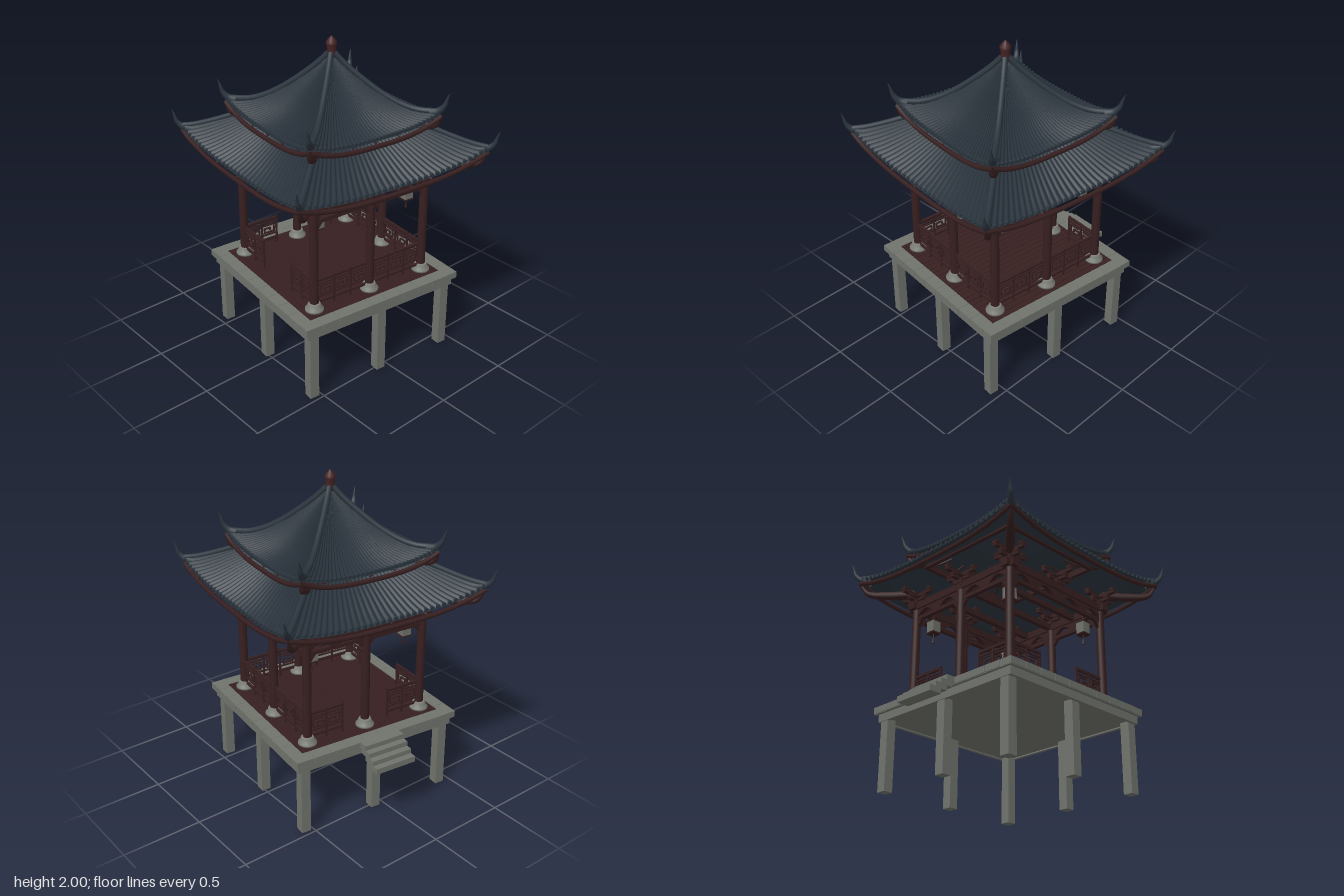
import * as THREE from 'three';

const mat = (name, color, side = THREE.FrontSide) => {
  const m = new THREE.MeshStandardMaterial({ color, side });
  m.name = name;
  return m;
};

export function createModel() {
  const stone = mat('grey stone', 0x70736c);
  const paleStone = mat('pale stone', 0x7a7d75);
  const wood = mat('dark red wood', 0x371f20);
  const slate = mat('slate tile', 0x2a343d, THREE.DoubleSide);
  const finialRed = mat('finial red', 0x462324);
  const paper = mat('lantern paper', 0x70716a);

  const model = new THREE.Group();
  model.name = 'pavilion';
  const body = new THREE.Group();
  body.name = 'turnedPavilion';
  body.rotation.y = -0.118;
  model.add(body);

  const add = (parent, name, geo, material, x = 0, y = 0, z = 0) => {
    const m = new THREE.Mesh(geo, material);
    m.name = name;
    m.position.set(x, y, z);
    parent.add(m);
    return m;
  };
  const box = (p, name, material, w, h, d, x, y, z) =>
    add(p, name, new THREE.BoxGeometry(w, h, d), material, x, y, z);
  // Round bar along a curve, its radius given by a rule
  const bar = (p, name, material, pts, radius, n = 16, sides = 8) => {
    const curve = new THREE.CatmullRomCurve3(pts);
    const geo = new THREE.TubeGeometry(curve, n, 1, sides);
    const pos = geo.attributes.position, v = new THREE.Vector3();
    for (let i = 0; i < pos.count; i++) {
      const s = Math.floor(i / (sides + 1)) / n, c = curve.getPointAt(s);
      v.fromBufferAttribute(pos, i).sub(c).multiplyScalar(radius(s)).add(c);
      pos.setXYZ(i, v.x, v.y, v.z);
    }
    return add(p, name, geo, material);
  };
  const fourSides = (name, build) => {
    for (let k = 0; k < 4; k++) {
      const g = new THREE.Group();
      g.name = name;
      g.rotation.y = k * Math.PI / 2;
      body.add(g);
      build(g, k);
    }
  };

  // Platform, floor and steps
  box(body, 'platformBase', stone, 1.08, 0.045, 1.08, 0, 0.455, 0);
  box(body, 'platformSlab', stone, 1.115, 0.03, 1.115, 0, 0.487, 0);
  for (let i = 0; i < 24; i++)
    box(body, 'floorPlank', wood, 0.96, 0.014, 0.037, 0, 0.507, -0.46 + i * 0.04);
  fourSides('platformSide', g => {
    for (let i = 0; i < 9; i++)
      box(g, 'edgeTile', stone, 0.114, 0.04, 0.08, -0.5025 + i * 0.116, 0.495, 0.5225);
    box(g, 'baseRim', stone, 1.08, 0.02, 0.02, 0, 0.434, 0.53);
  });
  for (const x of [-0.505, 0, 0.505])
    for (const z of [-0.49, 0, 0.49])
      if (x || z) box(body, 'leg', stone, 0.06, 0.435, 0.06, x, 0.2175, z);
  for (let i = 0; i < 4; i++)
    box(body, 'step', stone, 0.08, 0.036, 0.27, -0.695 + i * 0.04, 0.408 + i * 0.03, 0);

  // Columns on stone bases
  const baseGeo = new THREE.LatheGeometry([[0, 0], [0.056, 0], [0.056, 0.012], [0.044, 0.022], [0.04, 0.04], [0.034, 0.05], [0, 0.05]]
    .map(p => new THREE.Vector2(...p)), 20);
  const columnGeo = new THREE.CylinderGeometry(0.026, 0.027, 0.66, 16);
  const column = (g, x) => {
    add(g, 'columnBase', baseGeo, paleStone, x, 0.514, 0.4);
    add(g, 'column', columnGeo, wood, x, 0.87, 0.4);
  };
  // Triangular brace below the beam
  const brace = (g, x, dir) => {
    const s = new THREE.Shape();
    s.moveTo(0, 0);
    s.lineTo(dir * 0.06, 0);
    s.lineTo(dir * 0.024, -0.045);
    s.lineTo(0, -0.045);
    add(g, 'beamBrace', new THREE.ExtrudeGeometry(s, { depth: 0.02, bevelEnabled: false }), wood, x, 1.088, 0.39);
  };
  // Pierced lintel with a low arched opening on each side of the columns
  const lintelShape = new THREE.Shape();
  lintelShape.moveTo(-0.4, 1.085);
  lintelShape.lineTo(0.4, 1.085);
  lintelShape.lineTo(0.4, 1.158);
  lintelShape.lineTo(-0.4, 1.158);
  for (const x of [-0.31, -0.11, 0.11, 0.31]) {
    const hole = new THREE.Path();
    hole.moveTo(x - 0.065, 1.108);
    hole.quadraticCurveTo(x, 1.185, x + 0.065, 1.108);
    lintelShape.holes.push(hole);
  }
  const lintelGeo = new THREE.ExtrudeGeometry(lintelShape, { depth: 0.026, bevelEnabled: false });
  // Stacked bracket arms on a column top
  const brackets = (g, x) => {
    box(g, 'bracketBlock', wood, 0.06, 0.03, 0.06, x, 1.21, 0.4);
    [0.14, 0.23].forEach((l, i) => {
      const y = 1.23 + i * 0.032;
      box(g, 'bracketArm', wood, l, 0.02, 0.024, x, y, 0.4);
      box(g, 'bracketArm', wood, 0.024, 0.02, l + 0.02, x, y, 0.4);
      for (const s of [-1, 1]) {
        box(g, 'bracketCap', wood, 0.034, 0.016, 0.034, x + s * (l / 2 - 0.015), y + 0.016, 0.4);
        box(g, 'bracketCap', wood, 0.034, 0.016, 0.034, x, y + 0.016, 0.4 + s * (l / 2 - 0.005));
      }
    });
  };
  // Railing with square spirals, from x = a to x = b
  const railing = (g, a, b) => {
    const len = b - a, mid = (a + b) / 2, z = 0.4;
    for (const [y, t] of [[0.703, 0.016], [0.677, 0.009], [0.592, 0.009], [0.558, 0.014]])
      box(g, 'rail', wood, len, t, t, mid, y, z);
    const n = Math.max(1, Math.round(len / 0.125)), w = len / n;
    for (let i = 0; i <= n; i++)
      box(g, 'railPost', wood, 0.011, 0.195, 0.011, a + i * w, 0.618, z);
    for (let i = 0; i < n; i++) {
      const x = a + (i + 0.5) * w, s = i % 2 ? -1 : 1;
      for (const [dx, y, fw, fh] of [[0, 0.66, 0.07, 0.008], [-0.035, 0.634, 0.008, 0.06], [0, 0.608, 0.07, 0.008],
        [0.035, 0.622, 0.008, 0.036], [0.015, 0.638, 0.045, 0.008], [-0.006, 0.63, 0.008, 0.02], [-0.048, 0.634, 0.026, 0.008]])
        box(g, 'railFret', wood, fw, fh, 0.01, x + s * dx, y, z);
    }
  };
  fourSides('frameSide', (g, k) => {
    column(g, 0.4);
    brackets(g, 0.4);
    brackets(g, 0);
    brace(g, -0.4, 1);
    brace(g, 0.4, -1);
    if (k !== 0) {
      column(g, 0);
      brace(g, 0, 1);
      brace(g, 0, -1);
    }
    box(g, 'tieBeam', wood, 0.9, 0.045, 0.05, 0, 1.178, 0.4);
    add(g, 'lintel', lintelGeo, wood, 0, 0, 0.387);
    const open = k === 0 || k === 3;
    railing(g, -0.38, open ? -0.16 : -0.02);
    railing(g, open ? 0.16 : 0.02, 0.38);
    box(g, 'roofRingBeam', wood, 0.76, 0.04, 0.025, 0, 1.478, 0.367);

    // Hanging lantern inside the corner
    const lantern = new THREE.Group();
    lantern.name = 'lantern';
    lantern.position.set(0.325, 0, 0.325);
    g.add(lantern);
    add(lantern, 'lanternCord', new THREE.CylinderGeometry(0.003, 0.003, 0.1, 6), wood, 0, 1.13, 0);
    box(lantern, 'lanternBody', paper, 0.058, 0.075, 0.058, 0, 1.045, 0);
    for (const y of [1.005, 1.085]) box(lantern, 'lanternRim', wood, 0.064, 0.008, 0.064, 0, y, 0);
    add(lantern, 'tasselCord', new THREE.CylinderGeometry(0.003, 0.003, 0.04, 6), wood, 0, 0.982, 0);
    add(lantern, 'tassel', new THREE.CylinderGeometry(0.005, 0.008, 0.03, 6), wood, 0, 0.955, 0);
  });
  for (const z of [-0.2, 0, 0.2]) box(body, 'ceilingBeam', wood, 0.8, 0.035, 0.03, 0, 1.178, z);

  // Curved roof: ribbed faces, smooth soffit, eave trim, hip ridges and upturned horns
  const roof = (name, profile, lift, hip, horn) => {
    const curve = new THREE.SplineCurve(profile.map(p => new THREE.Vector2(...p)));
    const U = profile[profile.length - 1][0];
    const at = (s, t, dy = 0) => {
      const p = curve.getPoint(s);
      return new THREE.Vector3(t * p.x, p.y + lift * (p.x / U) ** 3 * Math.abs(t) ** 3 + dy, p.x);
    };
    const RIBS = 32, ROWS = 12;
    const offsets = [0, 0.2, 0.3, 0.5, 0.7, 0.8], heights = [0, 0, 0.75, 1, 0.75, 0];
    const sheet = (cols, across, height) => {
      const verts = [], index = [];
      for (let j = 0; j <= ROWS; j++)
        for (let i = 0; i < cols; i++) {
          const v = at(j / ROWS, across(i));
          verts.push(v.x, v.y + height(i) * Math.min(1, v.z / 0.2), v.z);
          if (j < ROWS && i < cols - 1) {
            const a = j * cols + i, b = a + cols;
            index.push(a, b, a + 1, a + 1, b, b + 1);
          }
        }
      const geo = new THREE.BufferGeometry();
      geo.setAttribute('position', new THREE.Float32BufferAttribute(verts, 3));
      geo.setIndex(index);
      geo.computeVertexNormals();
      return geo;
    };
    const tiles = sheet(RIBS * 6 + 1, i => 2 * (Math.floor(i / 6) + offsets[i % 6]) / RIBS - 1, i => heights[i % 6] * 0.013);
    const soffit = sheet(25, i => i / 12 - 1, () => -0.01);
    const cap = new THREE.CylinderGeometry(0.012, 0.012, 0.016, 8).rotateX(Math.PI / 2);
    const diagonal = pts => pts.map(([u, y]) => new THREE.Vector3(u, y, u));
    fourSides(name, g => {
      add(g, 'roofTiles', tiles, slate);
      add(g, 'roofSoffit', soffit, slate);
      for (let i = 0; i < RIBS; i++) {
        const v = at(1, 2 * (i + 0.5) / RIBS - 1);
        add(g, 'tileEnd', cap, slate, v.x, v.y + 0.006, v.z);
      }
      const eave = [];
      for (let i = 0; i <= 12; i++) {
        const t = i / 6 - 1;
        eave.push(at(1, t, -0.042 + 0.017 * Math.abs(t) ** 3));
      }
      bar(g, 'eaveBoard', wood, eave, () => 0.014, 24, 6);
      for (let i = -2; i <= 2; i++)
        bar(g, 'rafter', wood, [0.75, 0.83, 0.91, 0.99].map(s => at(s, i / 2.8, -0.025)), () => 0.008, 6, 5);
      const ridge = [];
      for (let j = 0; j <= 8; j++) ridge.push(at(j / 8 * 0.96, 1, 0.008));
      bar(g, 'hipRidge', slate, ridge, () => 0.018, 20);
      bar(g, 'ridgeHorn', slate, diagonal(horn), s => 0.029 * (1 - s) + 0.002);
      bar(g, 'hipBeam', wood, diagonal(hip), s => (s === 0 ? 0.001 : 0.026 * (1 - s ** 4) + 0.002));
    });
  };
  roof('lowerRoof', [[0.37, 1.485], [0.45, 1.433], [0.53, 1.381], [0.6, 1.338], [0.657, 1.31]], 0.06,
    [[0.4, 1.275], [0.53, 1.262], [0.62, 1.275], [0.655, 1.345]],
    [[0.61, 1.355], [0.655, 1.372], [0.68, 1.405], [0.688, 1.44], [0.698, 1.478]]);
  roof('upperRoof', [[0.012, 1.89], [0.05, 1.834], [0.1, 1.774], [0.16, 1.708], [0.25, 1.62], [0.35, 1.552], [0.455, 1.518]], 0.056,
    [[0.35, 1.5], [0.4, 1.488], [0.435, 1.502], [0.453, 1.56]],
    [[0.41, 1.567], [0.444, 1.582], [0.468, 1.62], [0.476, 1.655], [0.486, 1.692]]);

  // Finial
  const finial = [[0, 1.87], [0.026, 1.875], [0.028, 1.9], [0.025, 1.908], [0.028, 1.94], [0.032, 1.948],
    [0.032, 1.962], [0.018, 1.982], [0, 2]].map(p => new THREE.Vector2(...p));
  add(body, 'finial', new THREE.LatheGeometry(finial, 16), finialRed);

  return model;
}
